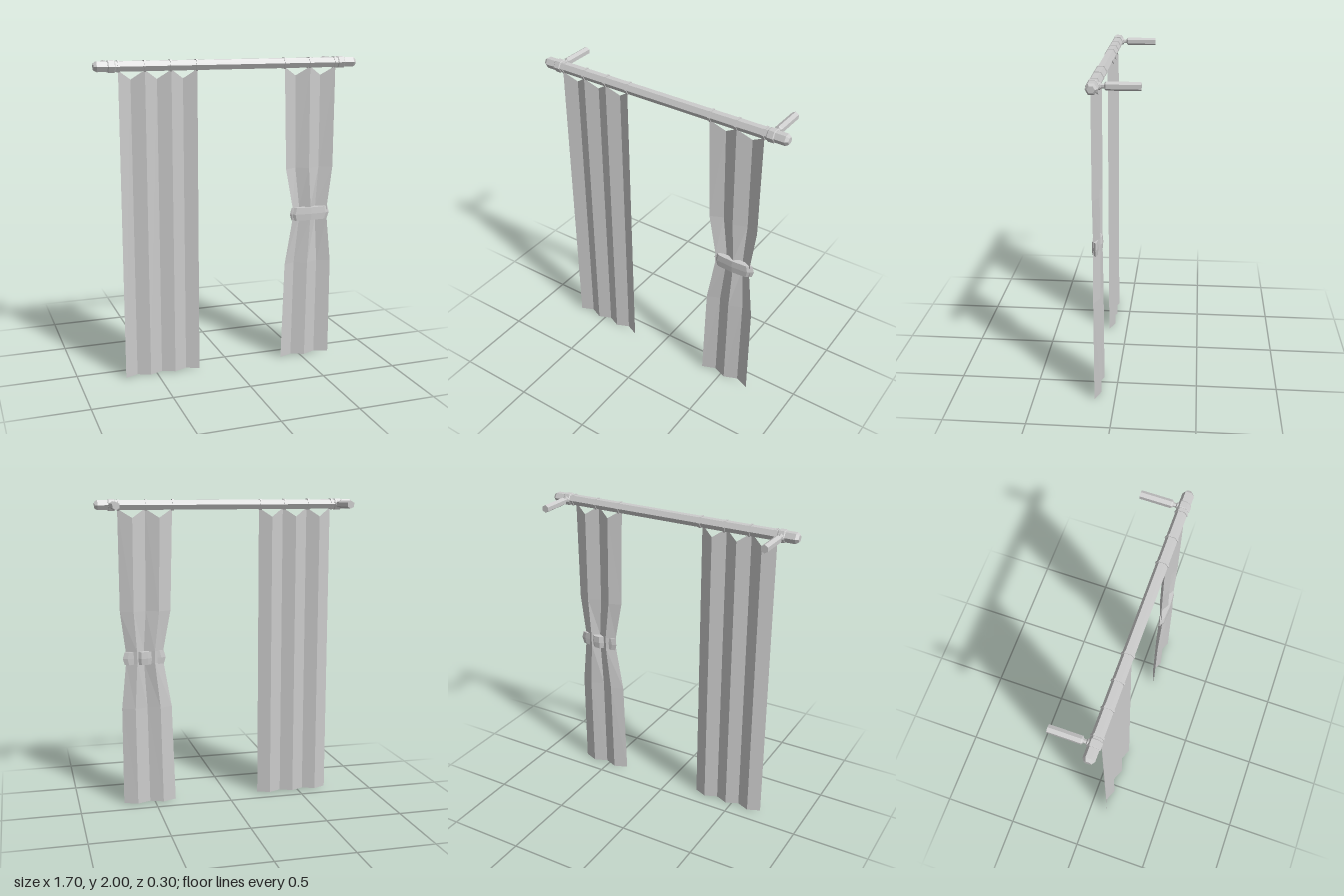
import * as THREE from 'three';

const ROD_Y = 1.965, ROD_Z = 0.105;

export function createModel() {
  const model = new THREE.Group();
  const metal = new THREE.MeshStandardMaterial({ color: 0xcccccc, flatShading: true });
  const cloth = new THREE.MeshStandardMaterial({ color: 0xcccccc, flatShading: true, side: THREE.DoubleSide });

  const add = (name, geometry, material, x = 0, y = 0, z = 0) => {
    const mesh = new THREE.Mesh(geometry, material);
    mesh.name = name;
    mesh.position.set(x, y, z);
    model.add(mesh);
  };

  // Six-sided turned part; profile is [radius, distance along axis]
  const turned = (profile) => new THREE.LatheGeometry(profile.map(([r, d]) => new THREE.Vector2(r, d)), 6);

  // Grid of points (rows of equal length) joined into a surface
  const loft = (rows, closed = false) => {
    const n = rows[0].length, index = [];
    for (let r = 0; r < rows.length - 1; r++) {
      for (let i = 0; i < (closed ? n : n - 1); i++) {
        const a = r * n + i, b = r * n + (i + 1) % n;
        index.push(a, b, b + n, a, b + n, a + n);
      }
    }
    const g = new THREE.BufferGeometry();
    g.setAttribute('position', new THREE.Float32BufferAttribute(rows.flat(2), 3));
    g.setIndex(index);
    g.computeVertexNormals();
    return g;
  };

  // Rod with bevelled ends
  add('rod', turned([[0, -0.85], [0.022, -0.85], [0.035, -0.832], [0.035, 0.832], [0.022, 0.85], [0, 0.85]])
    .rotateZ(Math.PI / 2), metal, 0, ROD_Y, ROD_Z);

  // Curtain rings
  for (const x of [-0.703, -0.543, -0.382, -0.219, 0.358, 0.529, 0.703]) {
    add('curtainRing', turned([[0.03, -0.006], [0.04, -0.006], [0.04, 0.006], [0.03, 0.006]])
      .rotateZ(Math.PI / 2), metal, x, ROD_Y, ROD_Z);
  }

  // Wall brackets: collar around the rod, neck and arm
  for (const side of [-1, 1]) {
    add('bracketCollar', turned([[0.03, -0.023], [0.037, -0.023], [0.041, -0.018], [0.041, 0.018], [0.037, 0.023], [0.03, 0.023]])
      .rotateZ(Math.PI / 2), metal, side * 0.745, ROD_Y, ROD_Z);
    add('bracketArm', turned([[0.022, 0.025], [0.022, 0.038], [0.013, 0.044], [0.013, 0.06], [0.019, 0.064],
      [0.025, 0.07], [0.025, 0.26], [0, 0.26]])
      .rotateX(-Math.PI / 2), metal, side * 0.745, ROD_Y, ROD_Z);
  }

  // Folds hang forward under the rings and sag back between them
  const foldZ = (i) => (i % 2 ? 0.09 : 0.125);
  const topY = (i) => (i % 2 ? 1.885 : 1.942);
  const row = (xs, y) => xs.map((x, i) => [x, y ?? topY(i), foldZ(i)]);

  // Straight curtain
  const straight = Array.from({ length: 7 }, (_, i) => -0.706 + i * 0.0815);
  add('straightCurtain', loft([row(straight, 0), row(straight)]), cloth);

  // Gathered curtain, pinched at the waist
  const wide = [0.357, 0.445, 0.531, 0.617, 0.706];
  const flare = [0.376, 0.456, 0.538, 0.621, 0.705];
  const waist = [0.427, 0.488, 0.555, 0.604, 0.673];
  add('gatheredCurtain', loft([row(wide, 0), row(flare, 0.65), row(waist, 0.95),
    row(waist, 1.03), row(flare, 1.29), row(wide)]), cloth);

  // Tieback: bulging band with a knot at the back
  const outline = [[0.414, 0.11], [0.445, 0.134], [0.555, 0.141], [0.66, 0.134], [0.695, 0.11], [0.665, 0.1],
    [0.6, 0.1], [0.578, 0.08], [0.535, 0.08], [0.51, 0.1], [0.445, 0.1]];
  const level = (s, y) => outline.map(([x, z]) => [0.555 + (x - 0.555) * s, y, 0.112 + (z - 0.112) * s]);
  add('tieback', loft([level(0, 0.945), level(0.91, 0.943), level(1, 0.985), level(0.91, 1.028), level(0, 1.028)], true), cloth);

  return model;
}
